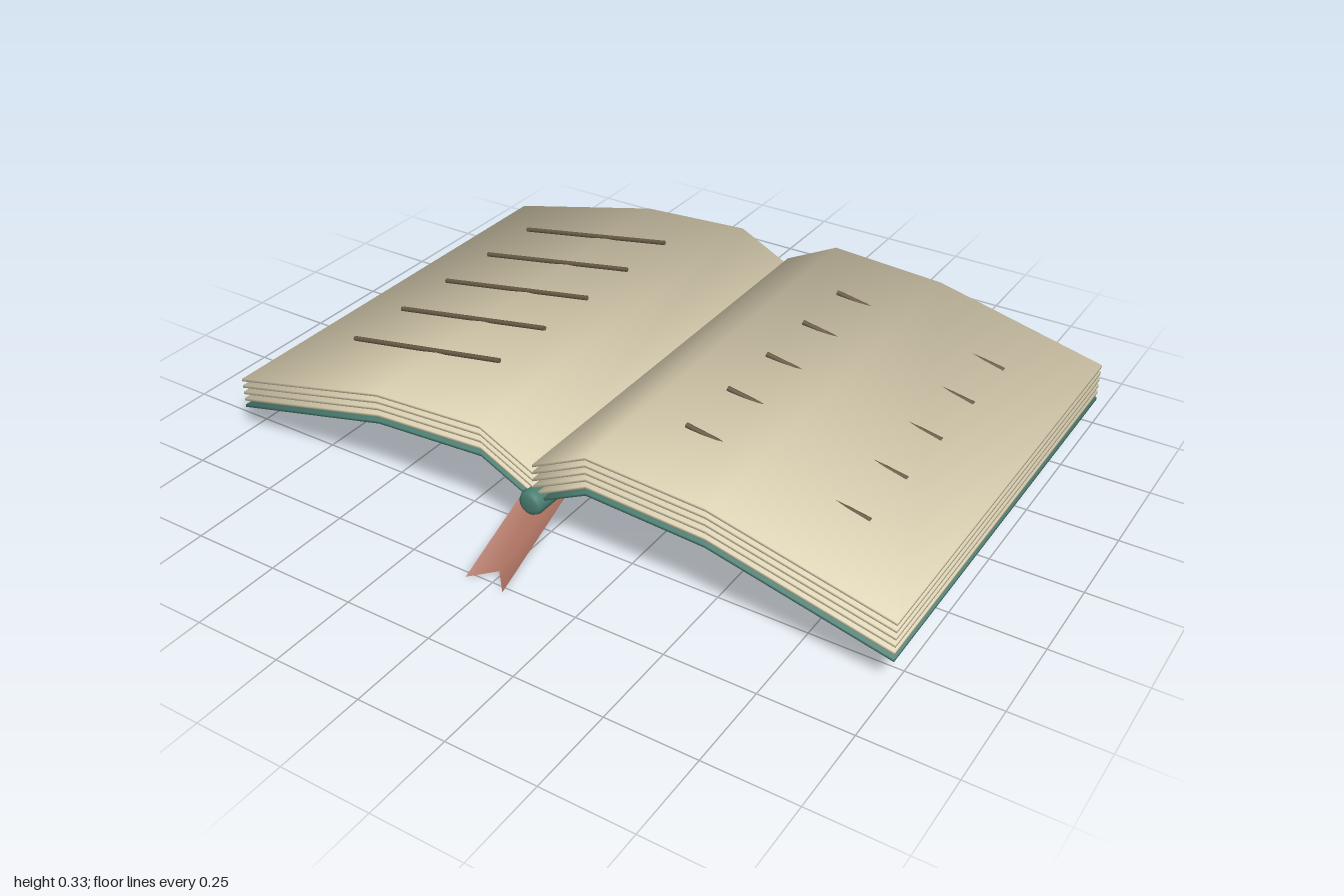
import * as THREE from 'three';

const FRONT = 0.568, BACK = -0.752;
const SHEET_GAP = 0.021, SHEET_THICKNESS = 0.008;

// Half of the open book in section, from the gutter to the outer edge
const PROFILE = [[0, 0.135], [0.16, 0.215], [0.5, 0.195], [1, 0.077]];

const cover = new THREE.MeshStandardMaterial({ name: 'teal cover', color: 0x4c8073 });
const paper = new THREE.MeshStandardMaterial({ name: 'cream paper', color: 0xe0d5b6 });
const ink = new THREE.MeshStandardMaterial({ name: 'brown ink', color: 0x685b45 });
const ribbon = new THREE.MeshStandardMaterial({ name: 'rose ribbon', color: 0xa96f5f, side: THREE.DoubleSide });

// Thin folded sheet with soft normals that roll over every edge
function sheetGeometry(side, lift) {
  const bottom = PROFILE.map(([x, y]) => [x * side, y + lift]);
  const top = bottom.map(([x, y]) => [x, y + SHEET_THICKNESS]).reverse();
  const loop = [...bottom, ...top];
  if (side < 0) loop.reverse();
  const n = loop.length;

  const edgeNormal = (i) => {
    const a = loop[i % n], b = loop[(i + 1) % n];
    return new THREE.Vector3(b[1] - a[1], a[0] - b[0], 0).normalize();
  };
  const positions = [], normals = [], index = [];
  for (const [z, dir] of [[FRONT, 1], [BACK, -1]]) {
    loop.forEach(([x, y], i) => {
      const normal = edgeNormal(i).add(edgeNormal(i + n - 1));
      normal.z = dir * ([0, 3, 4, 7].includes(i) ? 1 : 2);
      normal.normalize();
      positions.push(x, y, z);
      normals.push(normal.x, normal.y, normal.z);
    });
  }
  // Skin around the loop
  for (let i = 0; i < n; i++) {
    const j = (i + 1) % n;
    index.push(i, i + n, j + n, i, j + n, j);
  }
  // Front and back rims
  for (let k = 0; k < 3; k++) {
    const a = k, b = k + 1, c = 6 - k, d = 7 - k;
    index.push(a, b, c, a, c, d);
    index.push(a + n, c + n, b + n, a + n, d + n, c + n);
  }
  const geometry = new THREE.BufferGeometry();
  geometry.setAttribute('position', new THREE.Float32BufferAttribute(positions, 3));
  geometry.setAttribute('normal', new THREE.Float32BufferAttribute(normals, 3));
  geometry.setIndex(index);
  return geometry;
}

// Straight thin rod between two points
function rod(a, b, radius, material) {
  const axis = b.clone().sub(a);
  const mesh = new THREE.Mesh(new THREE.CylinderGeometry(radius, radius, axis.length(), 8), material);
  mesh.position.copy(a).add(b).multiplyScalar(0.5);
  mesh.quaternion.setFromUnitVectors(new THREE.Vector3(0, 1, 0), axis.normalize());
  return mesh;
}

export function createModel() {
  const book = new THREE.Group();
  book.name = 'openBook';
  const add = (mesh, name) => {
    mesh.name = name;
    book.add(mesh);
  };

  // Covers, page stacks and writing for each half
  for (const side of [1, -1]) {
    const label = side > 0 ? 'left' : 'right';
    add(new THREE.Mesh(sheetGeometry(side, 0), cover), `${label}Cover`);

    const sheets = side > 0 ? 5 : 4;
    for (let i = 1; i <= sheets; i++) {
      add(new THREE.Mesh(sheetGeometry(side, i * SHEET_GAP), paper), `${label}Page${i}`);
    }
    for (let i = 0; i < 5; i++) {
      const z = -0.507 + i * 0.2045;
      const inner = new THREE.Vector3(side * 0.29, 0.326, z);
      const outer = new THREE.Vector3(side * 0.803, 0.235, z);
      add(rod(inner, outer, 0.007, ink), `${label}TextLine${i + 1}`);
    }
  }

  // Rounded spine rod along the fold
  const half = 0.683, r = 0.036, bevel = 0.016;
  const outline = [
    [0, -half], [r - bevel, -half], [r - 0.005, -half + 0.005], [r, -half + bevel],
    [r, half - bevel], [r - 0.005, half - 0.005], [r - bevel, half], [0, half],
  ].map(([x, y]) => new THREE.Vector2(x, y));
  const spine = new THREE.Mesh(new THREE.LatheGeometry(outline, 20), cover);
  spine.rotation.x = Math.PI / 2;
  spine.position.set(0, 0.139, (FRONT + BACK) / 2);
  add(spine, 'spine');

  // Bookmark with a swallowtail end
  const tail = new THREE.BufferGeometry();
  tail.setAttribute('position', new THREE.Float32BufferAttribute([
    -0.07, 0.23, 0.25, 0.044, 0.23, 0.25,
    -0.07, 0, 0.768, -0.013, 0, 0.705, 0.044, 0, 0.768,
  ], 3));
  tail.setIndex([0, 2, 3, 0, 3, 1, 1, 3, 4]);
  tail.computeVertexNormals();
  add(new THREE.Mesh(tail, ribbon), 'bookmarkRibbon');

  return book;
}
